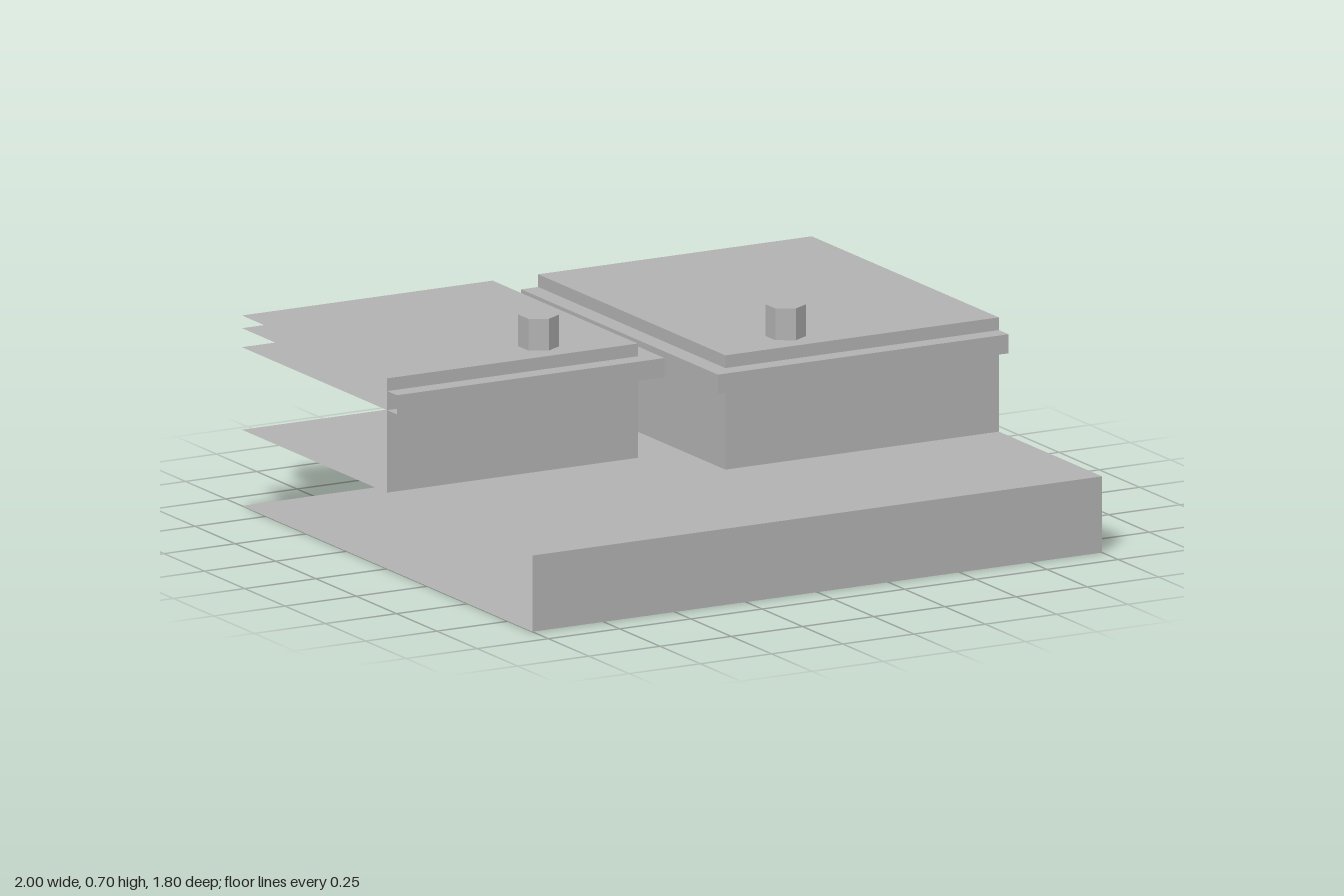
import * as THREE from 'three';

const BACK = -0.9;

export function createModel() {
  const root = new THREE.Group();
  const grey = new THREE.MeshStandardMaterial({ color: 0xb2b2b2, side: THREE.DoubleSide });
  grey.name = 'plain grey';

  const sheet = (parent, name, w, h, position, rotX = 0, rotY = 0) => {
    const mesh = new THREE.Mesh(new THREE.PlaneGeometry(w, h), grey);
    mesh.name = name;
    mesh.position.set(...position);
    mesh.rotation.set(rotX, rotY, 0);
    parent.add(mesh);
  };

  // Thin shell, open at the back and the outer ends, made of level sheets and a front wall
  const shell = (name, x0, x1, y0, y1, front, levels) => {
    const group = new THREE.Group();
    group.name = name;
    const w = x1 - x0, d = front - BACK, cx = (x0 + x1) / 2, cz = (front + BACK) / 2;
    for (const y of levels)
      sheet(group, y === y0 ? 'bottomSheet' : 'topSheet', w, d, [cx, y, cz],
        y === y0 ? Math.PI / 2 : -Math.PI / 2);
    sheet(group, 'frontWall', w, y1 - y0, [cx, (y0 + y1) / 2, front]);
    // Inner side wall wherever the shell stops short of the outer edge
    if (x1 < 1) sheet(group, 'innerWall', d, y1 - y0, [x1, (y0 + y1) / 2, cz], 0, Math.PI / 2);
    if (x0 > -1) sheet(group, 'innerWall', d, y1 - y0, [x0, (y0 + y1) / 2, cz], 0, -Math.PI / 2);
    root.add(group);
  };

  shell('base', -1, 1, 0, 0.24, 0.9, [0, 0.24]);

  // Two raised blocks, each with a projecting ledge below its top
  shell('rightBlock', -1, -0.12, 0.24, 0.6, 0, [0.6]);
  shell('rightLedge', -1, -0.06, 0.5, 0.56, 0.06, [0.5, 0.56]);
  shell('leftBlock', 0.04, 1, 0.24, 0.6, 0.26, [0.6]);
  shell('leftLedge', -0.02, 1, 0.5, 0.56, 0.32, [0.5, 0.56]);

  // Hexagonal pegs
  for (const [name, x, z] of [['rightPeg', -0.4, -0.12], ['leftPeg', 0.32, 0.14]]) {
    const peg = new THREE.Mesh(new THREE.CylinderGeometry(0.0625, 0.0625, 0.105, 6).toNonIndexed(), grey);
    peg.geometry.computeVertexNormals();
    peg.name = name;
    peg.position.set(x, 0.6475, z);
    root.add(peg);
  }
  return root;
}
